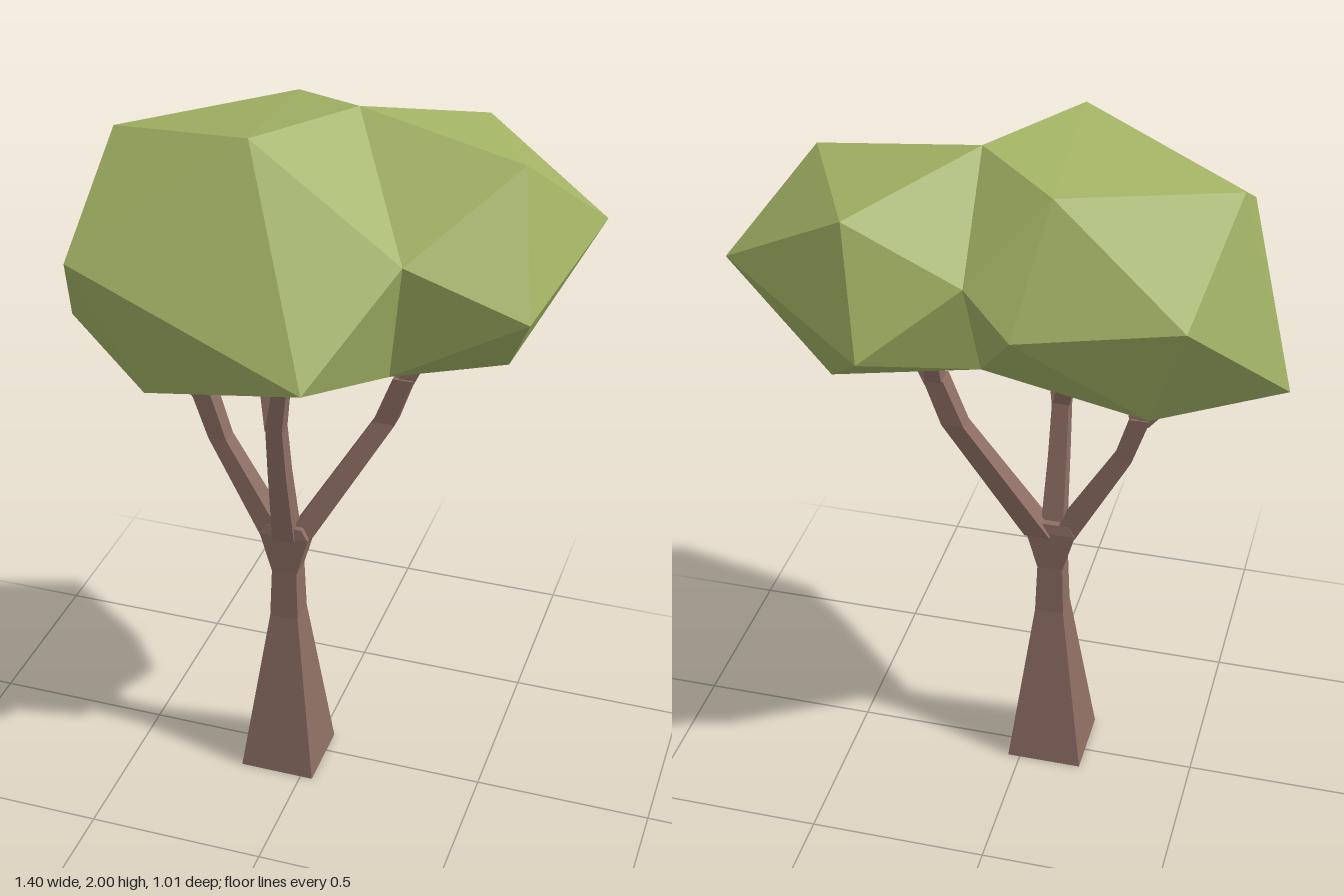
import * as THREE from 'three';
import { ConvexGeometry } from 'three/addons/geometries/ConvexGeometry.js';

const bark = new THREE.MeshStandardMaterial({ color: 0x8d6e63, flatShading: true });
const leaf = new THREE.MeshStandardMaterial({ color: 0xa2b264, flatShading: true });

// Four-sided limb through level sections [x, y, z, halfWidthX, halfWidthZ], capped at both ends
function limb(name, sections) {
  const pos = [], idx = [];
  for (const [x, y, z, wx, wz = wx] of sections) {
    for (const [sx, sz] of [[1, -1], [1, 1], [-1, 1], [-1, -1]]) pos.push(x + sx * wx, y, z + sz * wz);
  }
  const last = (sections.length - 1) * 4;
  for (let s = 0; s < last; s += 4) {
    for (let i = 0; i < 4; i++) {
      const a = s + i, b = s + (i + 1) % 4;
      idx.push(a, a + 4, b, a + 4, b + 4, b);
    }
  }
  idx.push(0, 1, 2, 0, 2, 3, last, last + 2, last + 1, last, last + 3, last + 2);
  let geo = new THREE.BufferGeometry();
  geo.setAttribute('position', new THREE.Float32BufferAttribute(pos, 3));
  geo.setIndex(idx);
  geo = geo.toNonIndexed();
  geo.computeVertexNormals();
  const mesh = new THREE.Mesh(geo, bark);
  mesh.name = name;
  return mesh;
}

// Faceted leaf mass around a few corner points
function crown(name, points) {
  const mesh = new THREE.Mesh(new ConvexGeometry(points.map(p => new THREE.Vector3(...p))), leaf);
  mesh.name = name;
  return mesh;
}

export function createModel() {
  const tree = new THREE.Group();
  tree.name = 'tree';

  // Flared trunk
  tree.add(limb('trunk', [
    [-0.073, 0, 0.03, 0.108], [-0.07, 0.51, 0.03, 0.041], [-0.07, 0.66, 0.03, 0.036],
    [-0.07, 0.78, 0.03, 0.07, 0.038], [-0.07, 0.81, 0.03, 0.05, 0.034],
  ]));

  // Three branches, each ending in a pair of twigs
  const branches = {
    right: {
      path: [[-0.105, 0.77, 0.03, 0.034], [-0.265, 1.05, 0.025, 0.026], [-0.31, 1.19, 0.025, 0.028]],
      twigs: [[-0.45, 1.33, 0.02], [-0.26, 1.34, 0.04]],
    },
    front: {
      path: [[-0.07, 0.77, 0.04, 0.032], [-0.074, 1.0, 0.08, 0.026], [-0.075, 1.17, 0.105, 0.023]],
      twigs: [[-0.125, 1.35, 0.055], [-0.035, 1.37, 0.145]],
    },
    left: {
      path: [[-0.035, 0.77, 0.02, 0.036], [0.185, 1.14, -0.05, 0.031, 0.026], [0.235, 1.28, -0.053, 0.028]],
      twigs: [[0.31, 1.41, -0.055], [0.235, 1.42, -0.1]],
    },
  };
  for (const [side, { path, twigs }] of Object.entries(branches)) {
    const group = new THREE.Group();
    group.name = side + 'Branch';
    group.add(limb('bough', path));
    const [x, y, z] = path[path.length - 1];
    for (const tip of twigs) group.add(limb('twig', [[x, y - 0.02, z, 0.024], [...tip, 0.017]]));
    tree.add(group);
  }

  // Two leaf masses meeting along a shared seam
  const seam = [
    [0.08, 1.995, -0.115], [0.295, 1.73, 0.22], [0.245, 1.38, 0.14],
    [0.06, 1.43, -0.23], [0.06, 1.74, -0.38],
  ];
  tree.add(crown('largeCrown', [
    ...seam,
    [-0.7, 1.34, 0], [-0.555, 1.9, -0.02], [-0.476, 1.655, -0.315], [-0.53, 1.69, 0.38],
    [-0.11, 2, 0.185], [0.13, 1.495, 0.505], [-0.135, 1.955, -0.275], [-0.065, 1.63, -0.42],
    [-0.37, 1.305, 0.29], [-0.36, 1.285, -0.14],
  ]));
  tree.add(crown('smallCrown', [
    ...seam,
    [0.53, 1.92, -0.05], [0.35, 1.9, -0.41], [0.295, 1.57, -0.51],
    [0.7, 1.7, -0.29], [0.6, 1.58, 0.135], [0.49, 1.305, -0.155],
  ]));
  return tree;
}
